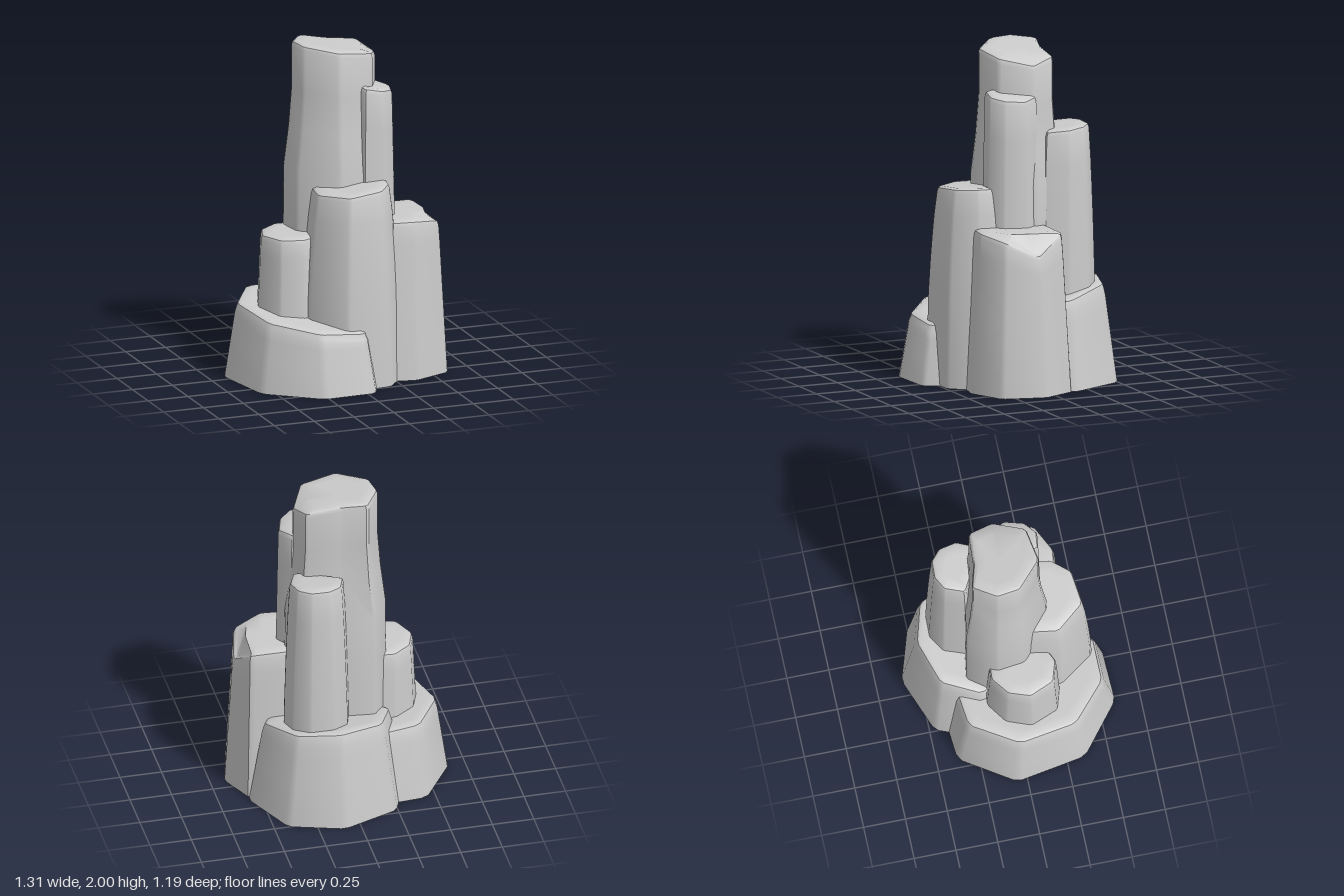
import * as THREE from 'three';
import { toCreasedNormals } from 'three/addons/utils/BufferGeometryUtils.js';

const material = new THREE.MeshStandardMaterial({ color: 0xcccccc, side: THREE.DoubleSide });
const mix = (a, b, t) => a.map((v, i) => v + (b[i] - v) * t);

// Cut every corner of an outline slightly so the vertical edges look worn.
function soften(points) {
  const n = points.length;
  return points.flatMap((p, i) => [
    mix(p, points[(i + n - 1) % n], 0.07),
    mix(p, points[(i + 1) % n], 0.07),
  ]);
}

// Rock column: outline holds the top corners as [x, z, optional extra drop of the rim].
// The top is the plane height + tiltX * x + tiltZ * z; the base is the outline pushed out by flare.
function column(name, { outline, height, tiltX = 0, tiltZ = 0, flare, ease = (h) => h }) {
  const upper = soften(outline.map(([x, z, d = 0]) => [x, z, d]));
  const n = upper.length;
  const cx = upper.reduce((s, p) => s + p[0], 0) / n;
  const cz = upper.reduce((s, p) => s + p[1], 0) / n;
  const topY = (x, z) => height + tiltX * x + tiltZ * z;
  const offset = (x, z, out) => {
    const k = 1 + out / Math.hypot(x - cx, z - cz);
    return [cx + (x - cx) * k, cz + (z - cz) * k];
  };
  const positions = [], index = [];

  // Wall rings
  const levels = [0, 0.45, 0.62, 0.74, 0.86];
  for (const h of levels) {
    for (const [x, z, drop] of upper) {
      const [px, pz] = offset(x, z, flare * (1 - ease(h)));
      positions.push(px, h * (topY(x, z) - drop), pz);
    }
  }
  // Rounded rim, then the flat top: inset, drop, share of the extra drop
  const rim = [[0, 0.032, 1], [0.008, 0.01, 1], [0.028, 0, 1], [0.085, 0, 0]];
  for (const [inset, drop, share] of rim) {
    for (const [x, z, extra] of upper) {
      const [px, pz] = offset(x, z, -inset);
      positions.push(px, topY(px, pz) - drop - extra * share, pz);
    }
  }
  positions.push(cx, topY(cx, cz), cz);

  const rings = levels.length + rim.length;
  for (let r = 0; r < rings; r++) {
    for (let i = 0; i < n; i++) {
      const j = (i + 1) % n, a = r * n + i, b = r * n + j;
      if (r === rings - 1) index.push(rings * n, b, a);
      else index.push(a, a + n, b + n, a, b + n, b);
    }
  }
  const geometry = new THREE.BufferGeometry();
  geometry.setAttribute('position', new THREE.Float32BufferAttribute(positions, 3));
  geometry.setIndex(index);
  const mesh = new THREE.Mesh(toCreasedNormals(geometry, 0.6), material);
  mesh.name = name;
  return mesh;
}

export function createModel() {
  const group = new THREE.Group();
  group.name = 'rockFormation';

  // Low ledges
  group.add(column('leftLedge', {
    height: 0.41, tiltX: -0.077, tiltZ: -0.1, flare: 0.07,
    outline: [[-0.42, -0.31], [0, -0.35], [0.12, 0.25], [0.01, 0.53], [-0.27, 0.53], [-0.52, 0.32], [-0.59, -0.03]],
  }));
  group.add(column('backLedge', {
    height: 0.5, tiltZ: -0.2, flare: 0.085,
    outline: [[-0.17, -0.42], [0.1, -0.51], [0.35, -0.44], [0.49, -0.17], [0.36, 0.06], [-0.1, 0.06], [-0.27, -0.19]],
  }));

  // Middle columns
  group.add(column('rightColumn', {
    height: 0.955, flare: 0.055,
    outline: [[0.22, -0.09], [0.54, -0.09], [0.61, 0.09, 0.12], [0.56, 0.29, 0.03], [0.38, 0.37], [0.24, 0.35]],
  }));
  group.add(column('frontColumn', {
    height: 1.17, tiltX: 0.08, flare: 0.065, ease: (h) => h * h,
    outline: [[-0.17, 0.08], [0.2, 0.08], [0.26, 0.2], [0.24, 0.32], [0.15, 0.43], [-0.06, 0.455], [-0.2, 0.28]],
  }));
  group.add(column('leftColumn', {
    height: 0.88, flare: 0.04,
    outline: [[-0.31, -0.15], [-0.12, -0.13], [-0.12, 0.18], [-0.27, 0.25], [-0.4, 0.21], [-0.465, 0.06], [-0.42, -0.07]],
  }));

  // Tall spires; the main one narrows at a waist
  group.add(column('mainSpire', {
    height: 1.972, tiltX: -0.13, flare: 0.05, ease: (h) => THREE.MathUtils.smoothstep(h, 0.58, 0.85),
    outline: [[-0.13, -0.225], [0.02, -0.185], [0.23, -0.17], [0.28, -0.02, 0.03], [0.19, 0.165], [-0.03, 0.2], [-0.2, 0.05], [-0.22, -0.09]],
  }));
  group.add(column('frontRightSpire', {
    height: 1.775, tiltX: -0.19, flare: 0.035,
    outline: [[0.1, -0.03], [0.28, -0.04], [0.345, 0.06], [0.31, 0.18], [0.23, 0.24], [0.12, 0.225]],
  }));
  group.add(column('backRightSpire', {
    height: 1.495, tiltZ: -0.1, flare: 0.04, ease: (h) => h * h,
    outline: [[0.06, -0.35], [0.14, -0.395], [0.25, -0.39], [0.32, -0.33], [0.345, -0.22], [0.29, -0.09], [0.02, -0.23]],
  }));
  return group;
}
